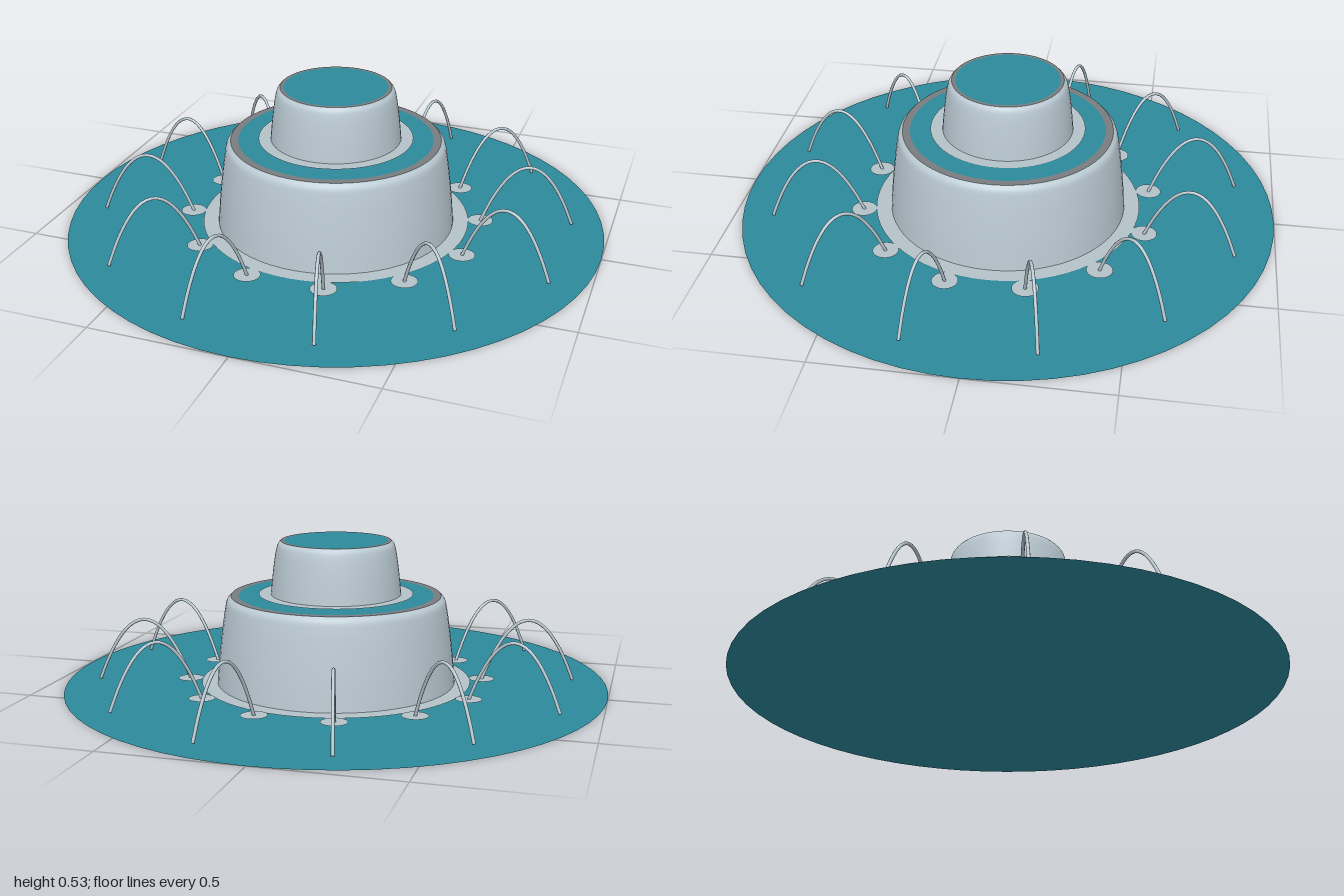
import * as THREE from 'three';

const flat = (name, color) => new THREE.MeshStandardMaterial({ name, color, side: THREE.DoubleSide });

export function createModel() {
  const water = flat('water', 0x2c8a9b);
  const fall = flat('falling water', 0xbccbd4);
  const foam = flat('foam', 0xb4c3c9);
  const rimGrey = flat('rim grey', 0x787d80);

  const model = new THREE.Group();
  model.name = 'fountain';

  const add = (name, geometry, material, parent = model) => {
    const mesh = new THREE.Mesh(geometry, material);
    mesh.name = name;
    parent.add(mesh);
    return mesh;
  };

  // Horizontal disc or ring, facing up
  const disc = (name, inner, outer, y, material, parent) => {
    const geometry = inner > 0
      ? new THREE.RingGeometry(inner, outer, 64)
      : new THREE.CircleGeometry(outer, 64);
    geometry.rotateX(-Math.PI / 2);
    const mesh = add(name, geometry, material, parent);
    mesh.position.y = y;
    return mesh;
  };

  // Smooth sheet of water spilling over a rim, profile listed from the bottom up
  const curtain = (name, profile) => {
    const points = profile.map(([r, y]) => new THREE.Vector2(r, y));
    const curve = new THREE.CatmullRomCurve3(points.map((p) => new THREE.Vector3(p.x, p.y, 0)));
    const smooth = curve.getPoints(24).map((p) => new THREE.Vector2(p.x, p.y));
    add(name, new THREE.LatheGeometry(smooth, 64), fall);
  };

  // Main pool and the foam around the lower fall
  disc('poolWater', 0, 1, 0, water);
  disc('poolFoam', 0.42, 0.5, 0.004, foam);

  // Lower tier
  curtain('lowerFall', [[0.443, 0], [0.434, 0.1], [0.422, 0.2], [0.41, 0.28], [0.402, 0.312], [0.388, 0.328]]);
  disc('lowerRim', 0.36, 0.388, 0.328, rimGrey);
  disc('lowerTierWater', 0, 0.36, 0.328, water);
  disc('lowerTierFoam', 0.22, 0.285, 0.332, foam);

  // Upper tier
  curtain('upperFall', [[0.241, 0.328], [0.235, 0.39], [0.227, 0.455], [0.219, 0.5], [0.213, 0.518], [0.203, 0.53]]);
  disc('upperRim', 0.19, 0.203, 0.53, rimGrey);
  disc('upperTierWater', 0, 0.19, 0.53, water);

  // Twelve arching jets, each rising from a patch of foam
  const start = 0.545, end = 0.885, height = 0.232;
  const arc = [];
  for (let i = 0; i <= 12; i++) {
    const t = i / 12;
    arc.push(new THREE.Vector3(start + (end - start) * t, 0.004 + (height - 0.006) * 4 * t * (1 - t), 0));
  }
  const jetGeometry = new THREE.TubeGeometry(new THREE.CatmullRomCurve3(arc), 32, 0.006, 8);
  for (let i = 0; i < 12; i++) {
    const jet = new THREE.Group();
    jet.name = `jet${i + 1}`;
    jet.rotation.y = (i + 0.5) * Math.PI / 6;
    add('jetArc', jetGeometry, fall, jet);
    disc('jetFoam', 0, 0.047, 0.006, foam, jet).position.x = start;
    model.add(jet);
  }

  return model;
}
